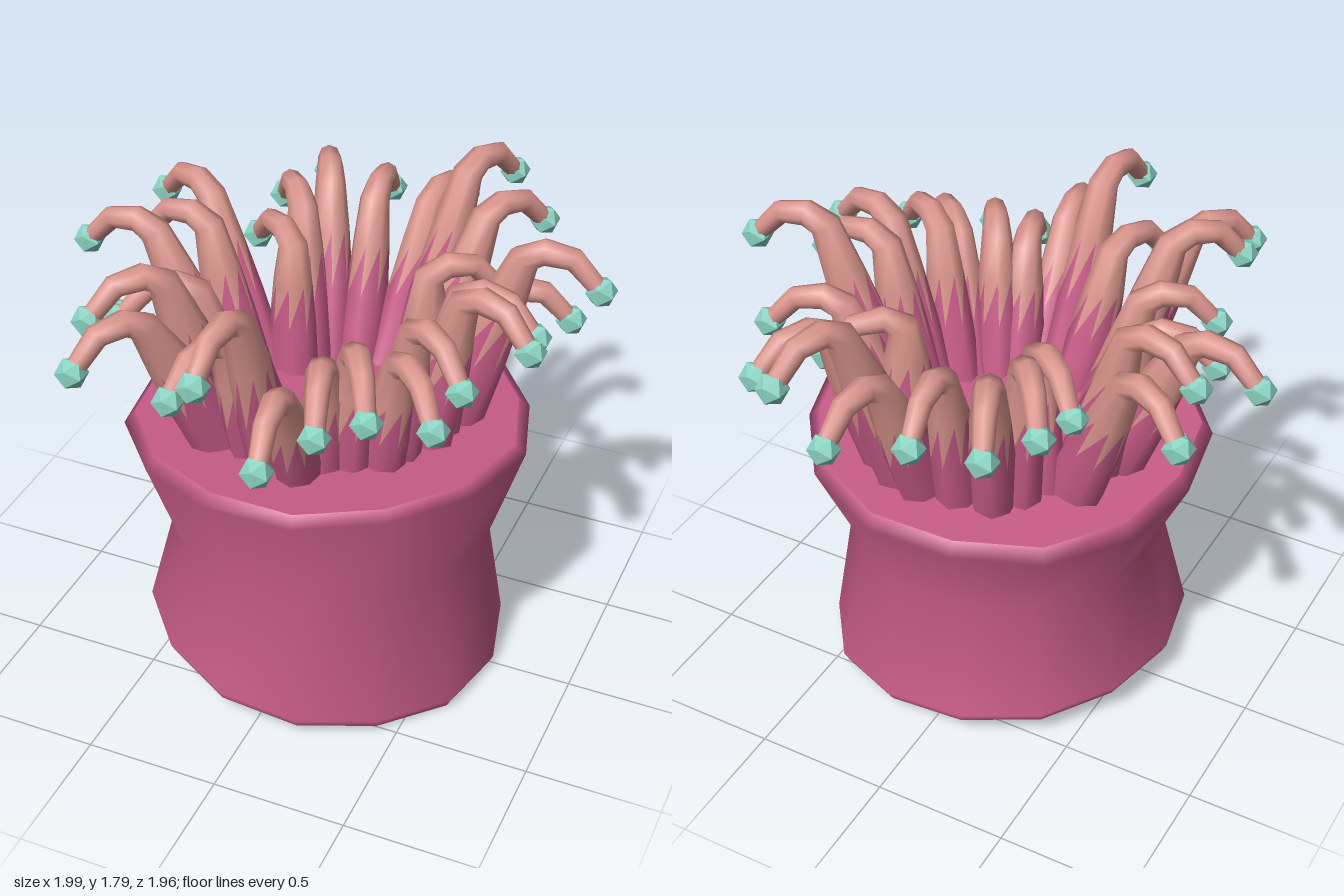
import * as THREE from 'three';

// Skin a stack of rings; below the sawtooth row is group 0, above it group 1
function loft(rings, splitRow = rings.length) {
  const n = rings[0].length, lower = [], upper = [];
  for (let i = 0; i < rings.length - 1; i++) {
    for (let j = 0; j < n; j++) {
      const a = i * n + j, b = i * n + (j + 1) % n, c = a + n, d = b + n;
      (i <= splitRow ? lower : upper).push(a, c, b);
      (i < splitRow ? lower : upper).push(b, c, d);
    }
  }
  const g = new THREE.BufferGeometry().setFromPoints(rings.flat());
  g.setIndex([...lower, ...upper]);
  g.addGroup(0, lower.length, 0);
  g.addGroup(lower.length, upper.length, 1);
  g.computeVertexNormals();
  return g;
}

// Flat fan closing a ring
function cap(ring, up) {
  const centre = ring.reduce((s, p) => s.add(p), new THREE.Vector3()).divideScalar(ring.length);
  const index = [];
  ring.forEach((_, j) => {
    const a = j + 1, b = (j + 1) % ring.length + 1;
    index.push(0, ...(up ? [b, a] : [a, b]));
  });
  const g = new THREE.BufferGeometry().setFromPoints([centre, ...ring]);
  g.setIndex(index);
  g.computeVertexNormals();
  return g;
}

// Tentacle tips: x, y, z
const TIPS = [
  [0.18, 1.44, -0.94], [0.38, 1.60, -0.92], [0.55, 1.50, -0.78], [-0.08, 1.47, -0.84],
  [-0.34, 1.50, -0.82], [-0.43, 1.48, -0.61], [-0.44, 1.42, -0.39], [-0.85, 1.49, -0.45],
  [-0.77, 1.50, -0.14], [-0.95, 1.48, -0.02], [-0.70, 1.35, 0.21], [-0.63, 1.43, 0.35],
  [-0.61, 1.57, 0.60], [-0.56, 1.50, 0.81], [-0.25, 1.42, 0.73], [-0.08, 1.61, 0.87],
  [0.16, 1.38, 0.92], [0.25, 1.37, 0.67], [0.40, 1.42, 0.59], [0.61, 1.41, 0.53],
  [0.65, 1.48, 0.38], [0.81, 1.55, 0.17], [0.78, 1.51, 0.02], [0.94, 1.62, -0.18],
  [0.80, 1.38, -0.34], [0.50, 1.39, -0.43],
];

export function createModel() {
  const mat = (name, color) => Object.assign(new THREE.MeshStandardMaterial({ color }), { name });
  const pink = mat('pink', 0xc85c89);
  const salmon = mat('salmon', 0xd9958c);
  const mint = mat('mint', 0x88d2c1);
  const group = new THREE.Group();
  const add = (parent, name, geometry, material) => {
    const mesh = new THREE.Mesh(geometry, material);
    mesh.name = name;
    parent.add(mesh);
    return mesh;
  };

  // Body: tilted base, narrow waist, flared rim
  const SIDES = 14;
  const bodyRing = (cx, cz, r, y, tiltX, tiltZ, wobble, phase) =>
    Array.from({ length: SIDES }, (_, j) => {
      const a = (j / SIDES) * Math.PI * 2;
      const rr = r * (1 + wobble * Math.sin(a * 5 + phase));
      const x = cx + Math.cos(a) * rr, z = cz + Math.sin(a) * rr;
      return new THREE.Vector3(x, y + tiltX * x + tiltZ * z, z);
    });
  const base = bodyRing(0.02, 0.01, 0.66, 0.065, -0.093, 0, 0.01, 0);
  const rim = bodyRing(0.02, 0, 0.70, 1.015, 0.03, 0.045, 0.015, 1);
  add(group, 'body', loft([
    base,
    bodyRing(0.02, 0.01, 0.68, 0.105, -0.09, 0, 0.01, 0),
    bodyRing(0.035, 0.02, 0.585, 0.57, 0, 0, 0.025, 2),
    bodyRing(0.02, 0, 0.74, 0.975, 0.045, 0.045, 0.015, 1),
    rim,
  ]), [pink, pink]);
  add(group, 'oralDisc', cap(rim, true), pink);
  add(group, 'foot', cap(base, false), pink);

  // Tentacles: rise, bend over and end in a bead
  const cx = 0.02, cz = -0.04, N = 8;
  const bead = new THREE.IcosahedronGeometry(0.058, 0);
  TIPS.forEach(([x, y, z], k) => {
    const tipR = Math.hypot(x - cx, z - cz), a = Math.atan2(z - cz, x - cx);
    const foot = [0.19 + 0.22 * tipR, 0.93];
    const elbow = [tipR - 0.27, y + 0.09];
    const along = (t) => [foot[0] + (elbow[0] - foot[0]) * t, foot[1] + (elbow[1] - foot[1]) * t];
    // radial distance and height, with width at each
    const path = [foot, along(0.46), along(0.75), elbow,
      [tipR - 0.2, y + 0.125], [tipR - 0.1, y + 0.11], [tipR, y]];
    const width = [0.088, 0.08, 0.07, 0.056, 0.048, 0.042, 0.034];
    const stretch = [1.45, 1.3, 1.15, 1, 1, 1, 1];
    const rings = path.map(([r, h], i) => {
      const p = path[Math.max(i - 1, 0)], q = path[Math.min(i + 1, path.length - 1)];
      const len = Math.hypot(q[0] - p[0], q[1] - p[1]);
      const tr = (q[0] - p[0]) / len, ty = (q[1] - p[1]) / len;
      return Array.from({ length: N }, (_, j) => {
        const b = (j / N) * Math.PI * 2;
        const n = Math.cos(b) * width[i] * stretch[i], s = Math.sin(b) * width[i];
        const rad = r + n * ty;
        return new THREE.Vector3(
          cx + Math.cos(a) * rad - Math.sin(a) * s,
          h - n * tr,
          cz + Math.sin(a) * rad + Math.cos(a) * s);
      });
    });
    const tentacle = new THREE.Group();
    tentacle.name = 'tentacle' + (k + 1);
    add(tentacle, 'stalk', loft(rings, 1), [pink, salmon]);
    add(tentacle, 'tip', bead, mint).position.set(x, y, z);
    group.add(tentacle);
  });
  return group;
}
